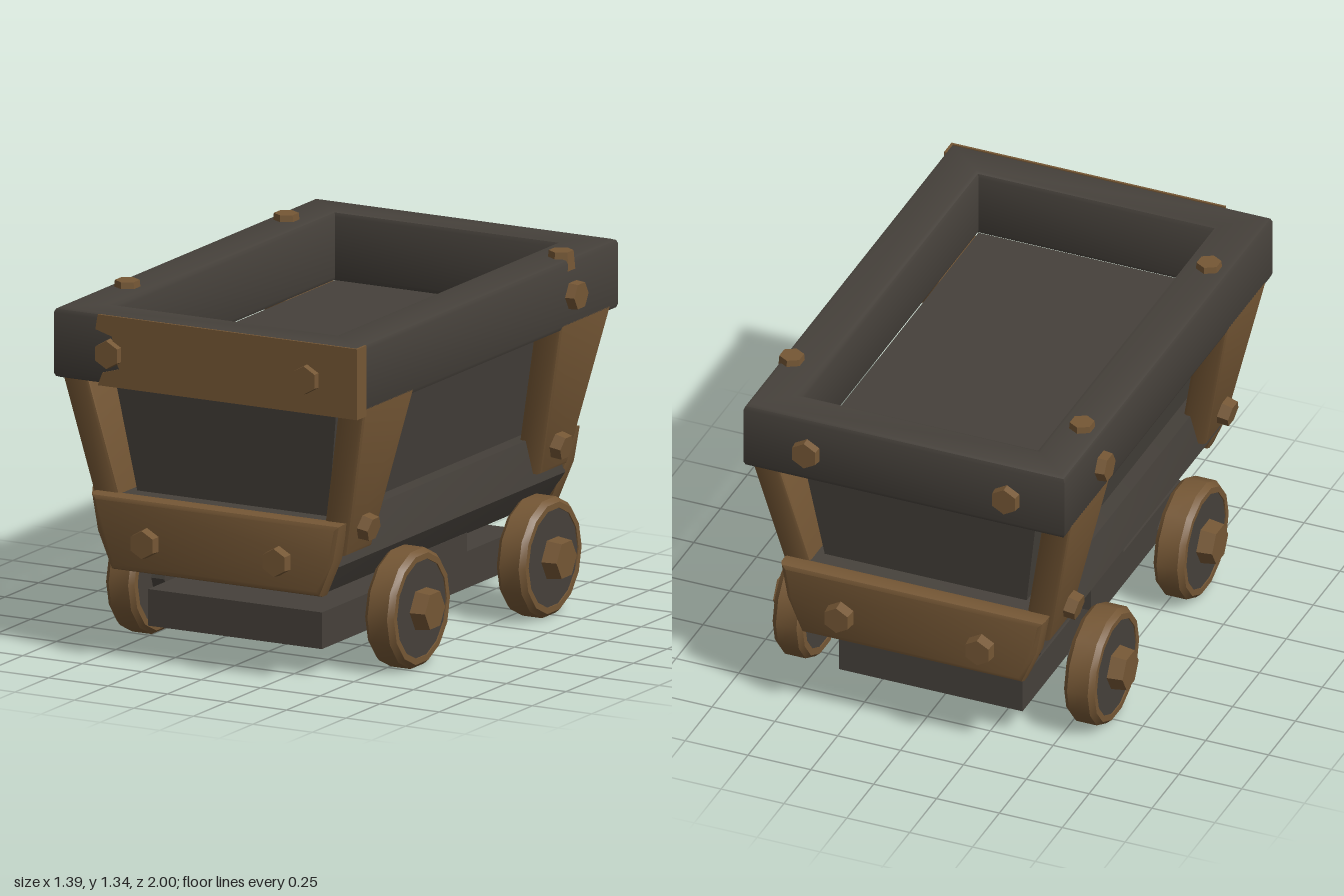
import * as THREE from 'three';
import { toCreasedNormals } from 'three/addons/utils/BufferGeometryUtils.js';

const iron = new THREE.MeshStandardMaterial({ color: 0x46413b });
iron.name = 'dark iron';
const rust = new THREE.MeshStandardMaterial({ color: 0x755735 });
rust.name = 'rusty brown';

function part(parent, name, geometry, material, x = 0, y = 0, z = 0) {
  const mesh = new THREE.Mesh(toCreasedNormals(geometry, 0.6), material);
  mesh.name = name;
  mesh.position.set(x, y, z);
  parent.add(mesh);
  return mesh;
}

const outline = (points) => new THREE.Shape(points.map(([x, y]) => new THREE.Vector2(x, y)));

// Plate with bevelled edges, running from z = 0 to z = depth
function slab(shape, depth, bevel) {
  const geo = new THREE.ExtrudeGeometry(shape, {
    depth: depth - 2 * bevel, bevelEnabled: bevel > 0, bevelThickness: bevel,
    bevelSize: bevel, bevelOffset: -bevel, bevelSegments: 2,
  });
  return geo.translate(0, 0, bevel);
}

const rect = (w, d) => [[-w, -d], [w, -d], [w, d], [-w, d]];

// Hexagonal bolt head pointing along a direction
function bolt(parent, x, y, z, dir, radius = 0.06) {
  const mesh = part(parent, 'bolt', new THREE.CylinderGeometry(radius * 0.88, radius, 0.07, 6), rust, x, y, z);
  mesh.quaternion.setFromUnitVectors(new THREE.Vector3(0, 1, 0), new THREE.Vector3(...dir));
}

// Wheel with its axis along +x (side = 1) or -x (side = -1)
function wheel(side, x, z) {
  const group = new THREE.Group();
  group.name = 'wheel';
  const tyre = [[0.185, -0.06], [0.21, -0.06], [0.225, -0.042], [0.225, 0.04], [0.208, 0.06], [0.185, 0.06], [0.185, -0.06]]
    .map(([r, h]) => new THREE.Vector2(r, h));
  part(group, 'tyre', new THREE.LatheGeometry(tyre, 14), rust);
  part(group, 'wheelDisc', new THREE.CylinderGeometry(0.187, 0.187, 0.11, 14), iron);
  part(group, 'hubNut', new THREE.CylinderGeometry(0.075, 0.085, 0.075, 6), rust, 0, 0.0775, 0);
  part(group, 'axleStub', new THREE.CylinderGeometry(0.075, 0.075, 0.06, 10), iron, 0, -0.08, 0);
  group.rotation.z = -side * Math.PI / 2;
  group.position.set(side * x, 0.23, z);
  return group;
}

// Tapered side post, leaning outwards towards the top
function post(parent, side, end, footIn, footOut) {
  const shape = outline([[-footOut, 0.5], [-footIn, 0.5], [-0.54, 1.1], [-0.92, 1.1]]);
  const geo = slab(shape, 0.11, 0.015);
  geo.rotateY(Math.PI / 2);
  if (end < 0) geo.rotateY(Math.PI).translate(0.11, 0, 0);
  const pos = geo.attributes.position;
  for (let i = 0; i < pos.count; i++) {
    pos.setX(i, pos.getX(i) + 0.405 + (pos.getY(i) - 0.5) * 0.21);
  }
  // A half turn moves the post to the other side and the other end
  if (side < 0) geo.rotateY(Math.PI);
  geo.computeVertexNormals();
  part(parent, 'sidePost', geo, rust);
}

export function createModel() {
  const cart = new THREE.Group();
  cart.name = 'mineCart';

  // Thick rim around the opening
  const rimShape = outline(rect(0.638, 0.968));
  rimShape.holes.push(new THREE.Path(rect(0.465, 0.815).reverse().map(([x, y]) => new THREE.Vector2(x, y))));
  part(cart, 'rim', slab(rimShape, 0.265, 0.02).rotateX(-Math.PI / 2), iron, 0, 1.065, 0);

  // Rusty patch over the front of the rim and its left end
  const patch = outline([[-0.45, 1.06], [0.64, 1.06], [0.64, 1.327], [-0.45, 1.327], [-0.46, 1.27],
    [-0.39, 1.25], [-0.38, 1.17], [-0.36, 1.13], [-0.43, 1.11]]);
  part(cart, 'frontRust', slab(patch, 0.009, 0), rust, 0, 0, 0.965);
  part(cart, 'frontRustEnd', new THREE.BoxGeometry(0.009, 0.267, 0.07), rust, 0.6365, 1.1935, 0.939);

  // Tapered bucket, its top forming the inner floor
  const bucket = new THREE.BoxGeometry(2, 0.49, 2);
  const pos = bucket.attributes.position;
  for (let i = 0; i < pos.count; i++) {
    const top = pos.getY(i) > 0;
    pos.setX(i, pos.getX(i) * (top ? 0.468 : 0.395));
    pos.setZ(i, pos.getZ(i) * (top ? 0.82 : 0.76));
  }
  bucket.computeVertexNormals();
  part(cart, 'bucket', bucket, iron, 0, 0.825, 0);

  // Chassis with end bumpers
  const chassis = outline([[-0.42, 0.35], [0.42, 0.35], [0.49, 0.46], [0.46, 0.625], [-0.46, 0.625], [-0.49, 0.46]]);
  part(cart, 'chassis', slab(chassis, 1.7, 0.015), iron, 0, 0, -0.85);
  const bumper = outline([[-0.44, 0.35], [0.44, 0.35], [0.5, 0.49], [0.525, 0.63], [-0.525, 0.63], [-0.5, 0.49]]);
  for (const z of [0.82, -0.9]) part(cart, 'bumper', slab(bumper, 0.08, 0.022), rust, 0, 0, z);

  // Blocks beneath the chassis
  part(cart, 'crossBlock', new THREE.BoxGeometry(0.85, 0.09, 0.3), iron, 0, 0.31, -0.07);
  part(cart, 'lowerBlock', new THREE.BoxGeometry(0.73, 0.138, 1.47), iron, -0.005, 0.183, 0.005);

  for (const side of [1, -1]) {
    post(cart, side, 1, side > 0 ? 0.64 : 0.61, side > 0 ? 0.83 : 0.81);
    post(cart, side, -1, side > 0 ? 0.61 : 0.64, side > 0 ? 0.81 : 0.83);
    cart.add(wheel(side, 0.545, 0.43), wheel(side, 0.58, -0.485));
    bolt(cart, side * 0.545, 0.6, 0.74, [side, -0.2 , 0].map((v) => v / Math.hypot(1, 0.2)), 0.055);
    bolt(cart, side * 0.545, 0.6, -0.69, [side, -0.2, 0].map((v) => v / Math.hypot(1, 0.2)), 0.055);
    bolt(cart, side * 0.64, 1.19, -0.63, [side, 0, 0]);
  }

  // Bolts on the ends and on top of the rim
  for (const [x, y, z, end] of [[-0.4, 1.185, 0.965, 1], [0.43, 1.19, 0.965, 1], [-0.41, 1.19, -0.965, -1],
    [0.385, 1.19, -0.965, -1], [-0.285, 0.47, 0.905, 1], [0.27, 0.47, 0.905, 1],
    [-0.28, 0.47, -0.91, -1], [0.28, 0.47, -0.91, -1]]) {
    bolt(cart, x, y, z, [0, 0, end]);
  }
  for (const [x, z] of [[-0.56, -0.62], [0.595, -0.62], [-0.56, 0.56]]) bolt(cart, x, 1.32, z, [0, 1, 0], 0.052);

  return cart;
}
